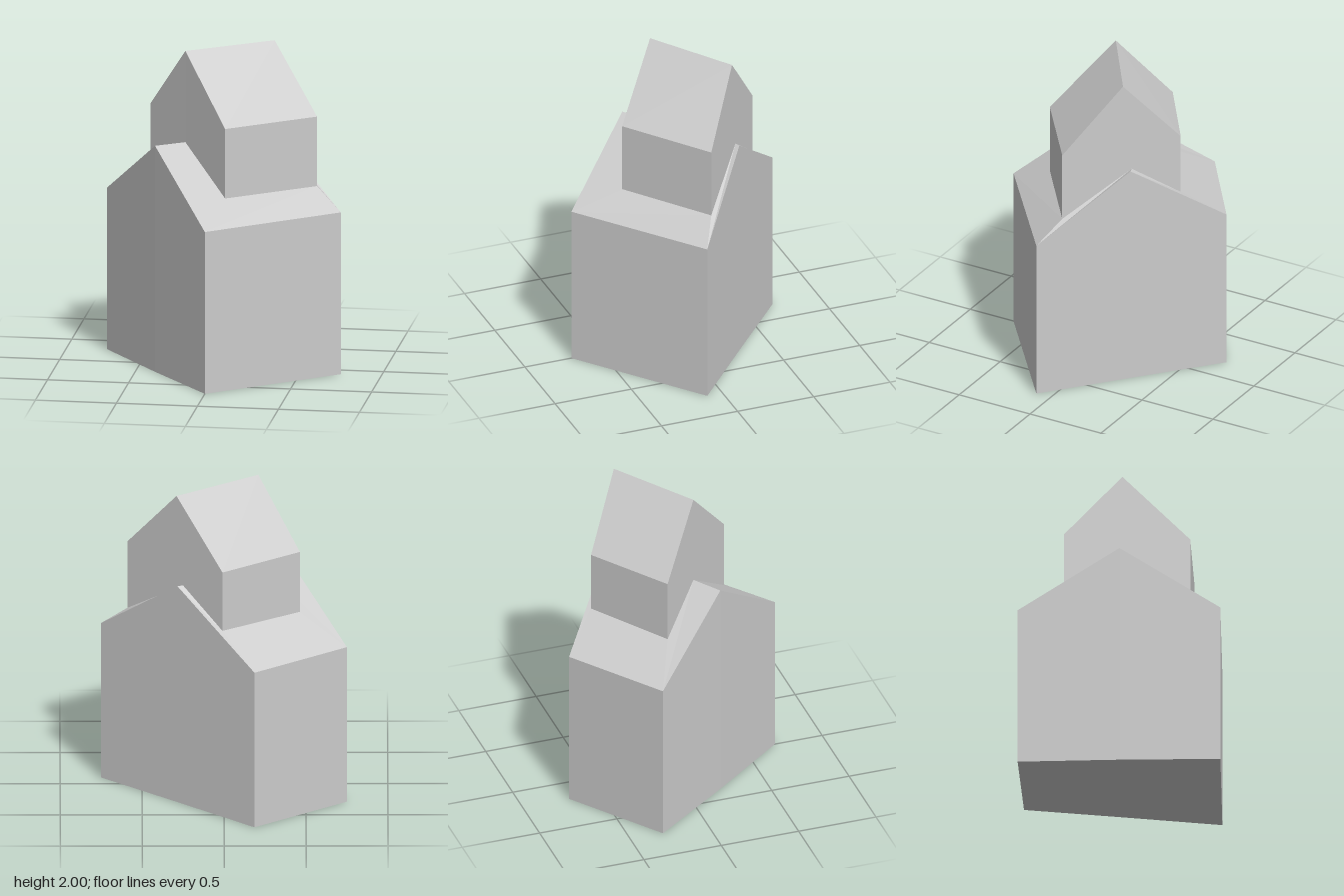
import * as THREE from 'three';

// Plan outlines [x, z], counter-clockwise from above:
// front right, front left, left gable middle, back left, back right, right gable middle
const lowerPlan = [[0, 0.695], [0.75, 0.1], [0.285, -0.295], [-0.185, -0.7], [-0.75, -0.29], [-0.38, 0.21]];
const upperPlan = [[0.08, 0.393], [0.59, 0.01], [0.25, -0.283], [0.01, -0.49], [-0.463, -0.16], [-0.21, 0.095]];
const upperTop = upperPlan.map((p, i) => (i === 2 ? [0.29, -0.245] : p));

// Lifts a plan outline to the given height at each corner
const ring = (plan, heights) => plan.map(([x, z], i) => [x, heights[i], z]);

// Quads joining one ring to the next one up
const band = (low, high) => low.map((p, i) => {
  const j = (i + 1) % low.length;
  return [p, low[j], high[j], high[i]];
});

// The two slopes closing a ring whose gable middles form a ridge
const slopes = ([a, b, ridgeLeft, c, d, ridgeRight]) => [[a, b, ridgeLeft, ridgeRight], [ridgeRight, ridgeLeft, c, d]];

function quadMesh(name, quads, material) {
  const corners = quads.flatMap(([a, b, c, d]) => [a, b, c, a, c, d]);
  const geometry = new THREE.BufferGeometry();
  geometry.setAttribute('position', new THREE.Float32BufferAttribute(corners.flat(), 3));
  geometry.computeVertexNormals();
  const mesh = new THREE.Mesh(geometry, material);
  mesh.name = name;
  return mesh;
}

export function createModel() {
  const material = new THREE.MeshStandardMaterial({ color: 0xcccccc, flatShading: true });
  const group = new THREE.Group();
  group.name = 'house';

  const ground = ring(lowerPlan, [0, 0, 0, 0, 0, 0]);
  const lowerEaves = ring(lowerPlan, [1.02, 1.02, 1.425, 1.02, 1.02, 1.425]);
  const upperFoot = ring(upperPlan, [1.157, 1.157, 1.425, 1.21, 1.2, 1.425]); // follows the lower roof
  const upperEaves = ring(upperTop, [1.595, 1.595, 2, 1.595, 1.595, 2]);

  group.add(
    quadMesh('lowerWalls', band(ground, lowerEaves), material),
    quadMesh('floor', slopes([...ground]).map((q) => q.reverse()), material),
    // Roof slopes left around the upper storey
    quadMesh('lowerRoof', band(lowerEaves, upperFoot), material),
    quadMesh('upperWalls', band(upperFoot, upperEaves), material),
    quadMesh('upperRoof', slopes(upperEaves), material),
  );
  return group;
}
